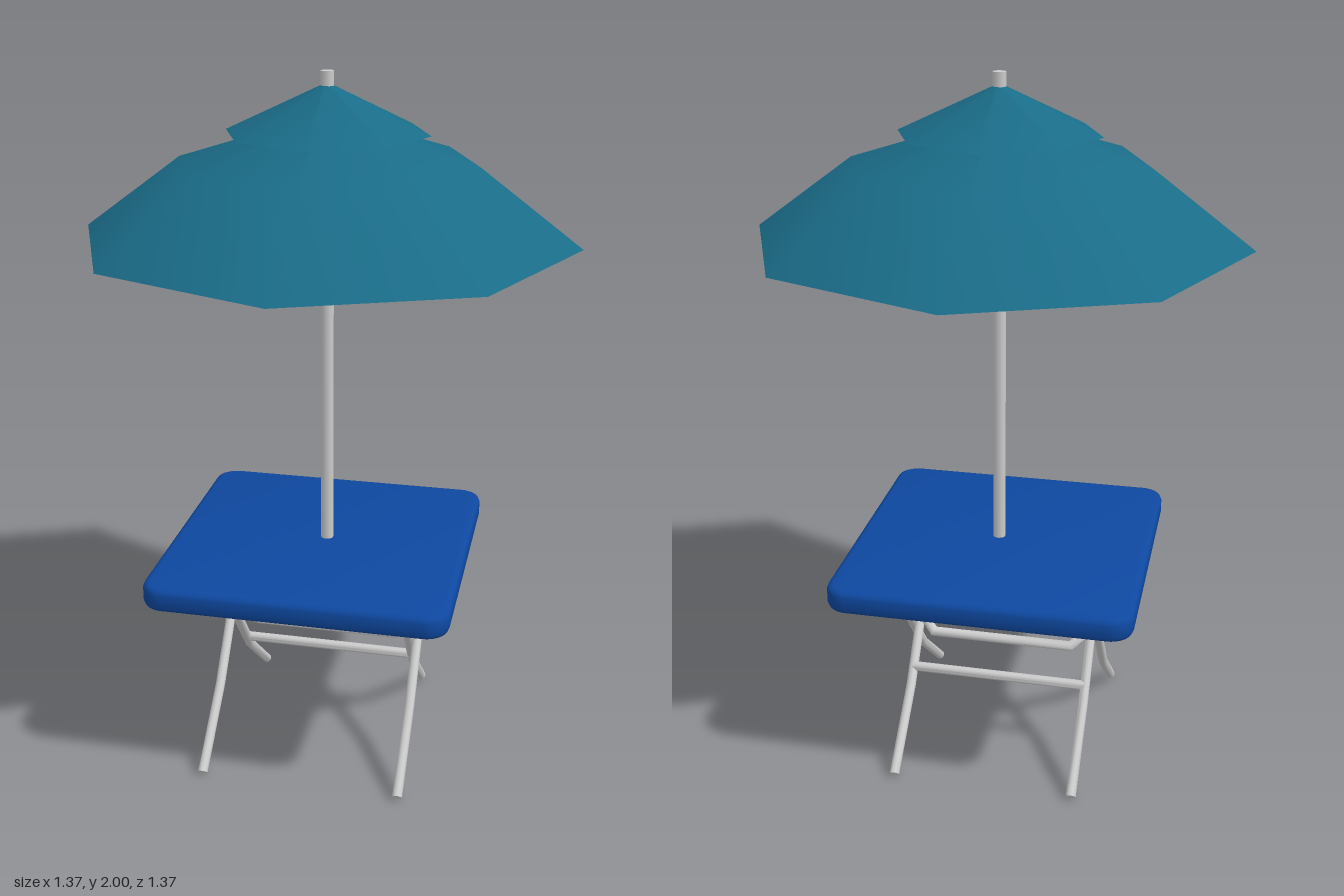
import * as THREE from 'three';
import { toCreasedNormals } from 'three/addons/utils/BufferGeometryUtils.js';

const TABLE_X = -0.016; // the table sits slightly off the pole's axis

const metal = new THREE.MeshStandardMaterial({ color: 0xcccccc });
const tableBlue = new THREE.MeshStandardMaterial({ color: 0x0e48a0 });
const canopyTeal = new THREE.MeshStandardMaterial({ color: 0x1a6c88, side: THREE.DoubleSide });

function add(parent, name, geometry, material) {
  const mesh = new THREE.Mesh(geometry, material);
  mesh.name = name;
  parent.add(mesh);
  return mesh;
}

// Capped tube with mitred bends along a planar path; n is the normal of its plane.
function bentTube(points, normal, radius = 0.0145, sides = 10) {
  const path = points.map((p) => new THREE.Vector3(...p));
  const n = new THREE.Vector3(...normal).normalize();
  const last = path.length - 1;
  const positions = [];
  const index = [];
  path.forEach((p, i) => {
    const after = path[Math.min(i + 1, last)].clone().sub(path[Math.min(i, last - 1)]).normalize();
    const before = path[Math.max(i, 1)].clone().sub(path[Math.max(i - 1, 0)]).normalize();
    const t = after.clone().add(before).normalize();
    const b = t.clone().cross(n).multiplyScalar(1 / t.dot(after));
    for (let j = 0; j < sides; j++) {
      const a = (j / sides) * Math.PI * 2;
      const v = p.clone().addScaledVector(n, radius * Math.cos(a)).addScaledVector(b, radius * Math.sin(a));
      positions.push(v.x, v.y, v.z);
    }
  });
  positions.push(...path[0].toArray(), ...path[last].toArray());
  const start = path.length * sides;
  for (let j = 0; j < sides; j++) {
    const k = (j + 1) % sides;
    for (let i = 0; i < last; i++) {
      const lo = i * sides;
      const hi = lo + sides;
      index.push(lo + j, lo + k, hi + k, lo + j, hi + k, hi + j);
    }
    index.push(start, k, j, start + 1, last * sides + j, last * sides + k);
  }
  const geometry = new THREE.BufferGeometry();
  geometry.setAttribute('position', new THREE.Float32BufferAttribute(positions, 3));
  geometry.setIndex(index);
  return toCreasedNormals(geometry, 0.9);
}

// Square slab with rounded corners and softened edges
function tabletopGeometry() {
  const bevel = 0.016;
  const h = 0.427 - bevel;
  const r = 0.05;
  const shape = new THREE.Shape();
  [[1, 1], [-1, 1], [-1, -1], [1, -1]].forEach(([sx, sy], i) => {
    shape.absarc(sx * (h - r), sy * (h - r), r, (i * Math.PI) / 2, ((i + 1) * Math.PI) / 2, false);
  });
  shape.closePath();
  const geometry = new THREE.ExtrudeGeometry(shape, {
    depth: 0.068 - 2 * bevel, bevelThickness: bevel, bevelSize: bevel, bevelSegments: 2, curveSegments: 4,
  });
  geometry.rotateX(-Math.PI / 2).translate(0, 0.591 + bevel, 0);
  return toCreasedNormals(geometry, 0.8);
}

// Eight-sided canopy with a corner on each axis
function canopyGeometry(profile) {
  return new THREE.LatheGeometry(profile.map(([x, y]) => new THREE.Vector2(x, y)), 8);
}

export function createModel() {
  const model = new THREE.Group();
  model.name = 'parasolTable';

  // Parasol
  const parasol = new THREE.Group();
  parasol.name = 'parasol';
  model.add(parasol);
  add(parasol, 'pole', new THREE.CylinderGeometry(0.018, 0.018, 1.39, 10).translate(0, 1.305, 0), metal);
  add(parasol, 'canopy', canopyGeometry([[0.685, 1.56], [0.41, 1.763], [0.012, 1.888]]), canopyTeal);
  add(parasol, 'canopyCap', canopyGeometry([[0.277, 1.84], [0.012, 1.965]]), canopyTeal);

  // Folding table
  const table = new THREE.Group();
  table.name = 'foldingTable';
  table.position.x = TABLE_X;
  model.add(table);
  add(table, 'tabletop', tabletopGeometry(), tableBlue);

  // Crossed legs, bent outwards at the knee
  for (const side of [1, -1]) {
    const outer = side * 0.29;
    const inner = side * 0.263;
    add(table, 'outerLeg', bentTube(
      [[outer, 0.012, 0.328], [outer, 0.19, 0.12], [outer, 0.605, -0.223]], [1, 0, 0]), metal);
    add(table, 'innerLeg', bentTube(
      [[inner, 0.012, -0.334], [inner, 0.19, -0.128], [inner, 0.525, 0.135]], [1, 0, 0]), metal);
  }

  // Brace between the inner legs
  add(table, 'legCrossbar', bentTube([[-0.263, 0.235, -0.095], [0.263, 0.235, -0.095]], [0, 1, 0]), metal);

  // U-shaped support hung from the tabletop
  const top = [0.605, 0.18];
  const bottom = [0.332, -0.042];
  const at = (x, s) => [x, ...top.map((v, i) => v + (bottom[i] - v) * s)];
  add(table, 'supportFrame', bentTube(
    [at(-0.244, 0), at(-0.244, 0.89), at(-0.21, 1), at(0.21, 1), at(0.244, 0.89), at(0.244, 0)],
    [0, top[1] - bottom[1], bottom[0] - top[0]]), metal);

  return model;
}
